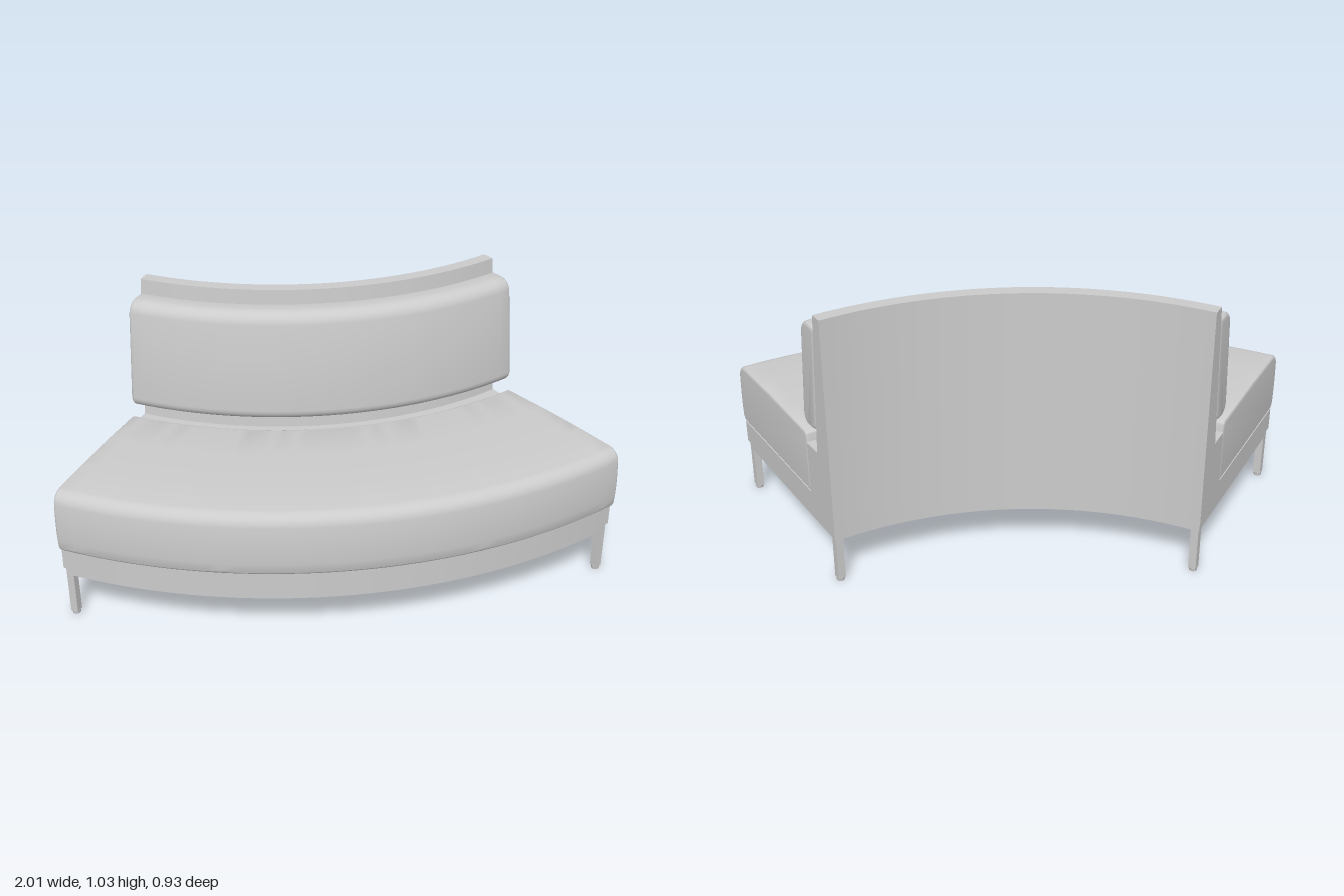
import * as THREE from 'three';
import { toCreasedNormals } from 'three/addons/utils/BufferGeometryUtils.js';

const HALF = Math.PI / 6;   // half of the 60 degree sector
const CENTRE_Z = -1.556;    // z of the arc centre
const SEGMENTS = 36;

// Cross-section [radius, height, cornerRadius], counter-clockwise, with rounded corners
function roundProfile(corners, steps = 5) {
  const out = [];
  corners.forEach(([x, y, rad = 0], i) => {
    const p = new THREE.Vector2(x, y);
    if (!rad) return out.push(p);
    const n = corners.length;
    const toward = (q) => new THREE.Vector2(q[0], q[1]).sub(p).setLength(rad).add(p);
    const a = toward(corners[(i + n - 1) % n]);
    const b = toward(corners[(i + 1) % n]);
    // cubic handles close to a circular fillet
    const h = (v) => v.clone().lerp(p, 0.55);
    out.push(...new THREE.CubicBezierCurve(a, h(a), h(b), b).getPoints(steps));
  });
  return out;
}

// Sweeps a profile around the arc centre; endRound softens the two end faces
function sweepArc(profile, half, endRound = 0) {
  const box = new THREE.Box2().setFromPoints(profile);
  const mid = box.getCenter(new THREE.Vector2());
  const size = box.getSize(new THREE.Vector2());
  const rings = [];
  const addRing = (angle, inset) => rings.push(profile.map((p) => {
    const r = mid.x + (p.x - mid.x) * (1 - 2 * inset / size.x);
    const y = mid.y + (p.y - mid.y) * (1 - 2 * inset / size.y);
    return [r * Math.sin(angle), y, r * Math.cos(angle)];
  }));
  const steps = endRound ? 4 : 0;
  const pad = endRound / mid.x;
  const endRing = (side, k) => {
    const t = (k / steps) * Math.PI / 2;
    addRing(side * (half - pad * (1 - Math.sin(t))), endRound * (1 - Math.cos(t)));
  };
  for (let k = steps; k > 0; k--) endRing(-1, k);
  for (let i = 0; i <= SEGMENTS; i++) addRing((half - pad) * (2 * i / SEGMENTS - 1), 0);
  for (let k = 1; k <= steps; k++) endRing(1, k);

  const pos = [];
  const n = profile.length;
  for (let j = 0; j < rings.length - 1; j++) {
    for (let i = 0; i < n; i++) {
      const k = (i + 1) % n;
      const [a, b, c, d] = [rings[j][i], rings[j + 1][i], rings[j + 1][k], rings[j][k]];
      pos.push(...a, ...b, ...c, ...a, ...c, ...d);
    }
  }
  // end faces
  const first = rings[0], last = rings[rings.length - 1];
  for (const [a, b, c] of THREE.ShapeUtils.triangulateShape(profile, [])) {
    pos.push(...first[a], ...first[b], ...first[c], ...last[a], ...last[c], ...last[b]);
  }
  const geo = new THREE.BufferGeometry();
  geo.setAttribute('position', new THREE.Float32BufferAttribute(pos, 3));
  return toCreasedNormals(geo, 0.6);
}

export function createModel() {
  const model = new THREE.Group();
  model.name = 'curvedBench';
  const arc = new THREE.Group();
  arc.name = 'arcParts';
  arc.position.z = CENTRE_Z;
  model.add(arc);

  const material = new THREE.MeshStandardMaterial({ color: 0xcccccc });
  const add = (name, geo, parent = arc) => {
    const mesh = new THREE.Mesh(geo, material);
    mesh.name = name;
    parent.add(mesh);
    return mesh;
  };

  // Plinth and leaning back wall in one piece
  add('backAndBase', sweepArc(roundProfile([
    [1.26, 0.205], [1.996, 0.205], [1.996, 0.29], [1.433, 0.29],
    [1.433, 0.49], [1.352, 0.49], [1.306, 1.03], [1.26, 1.03],
  ]), HALF));

  // Cushions
  add('seatCushion', sweepArc(roundProfile([
    [1.433, 0.29, 0.008], [2.016, 0.29, 0.02], [2.021, 0.38, 0.04],
    [2.012, 0.53, 0.045], [1.72, 0.536, 0.1], [1.433, 0.529, 0.015],
  ]), HALF, 0.01));
  add('backCushion', sweepArc(roundProfile([
    [1.348, 0.578, 0.015], [1.40, 0.568, 0.02], [1.447, 0.574, 0.035],
    [1.405, 0.983, 0.045], [1.311, 0.98, 0.012],
  ]), HALF, 0.014));

  // Square-tube frame under the plinth
  const TUBE = 0.028, Y0 = 0.175, Y1 = 0.205, IN = 1.266, OUT = 1.99;
  const rail = (r) => sweepArc(roundProfile([
    [r, Y0], [r + TUBE, Y0], [r + TUBE, Y1], [r, Y1],
  ]), HALF - 0.003);
  add('rearRail', rail(IN));
  add('frontRail', rail(OUT - TUBE));

  const barGeo = new THREE.BoxGeometry(TUBE, Y1 - Y0, OUT - IN - 0.01);
  const legGeo = new THREE.BoxGeometry(TUBE, Y0 - 0.012, TUBE);
  const footGeo = new THREE.CylinderGeometry(0.016, 0.014, 0.014, 16);
  for (const side of [-1, 0, 1]) {
    const spoke = new THREE.Group();
    spoke.name = side ? (side > 0 ? 'leftEndFrame' : 'rightEndFrame') : 'middleFrame';
    spoke.rotation.y = side * HALF;
    arc.add(spoke);
    const x = -side * (TUBE / 2 + 0.006);
    add('crossBar', barGeo, spoke).position.set(x, (Y0 + Y1) / 2, (IN + OUT) / 2);
    if (!side) continue;
    // Legs with small round feet
    for (const [name, r] of [['rear', IN + TUBE / 2], ['front', OUT - TUBE / 2]]) {
      add(name + 'Leg', legGeo, spoke).position.set(x, (Y0 + 0.012) / 2, r);
      add(name + 'Foot', footGeo, spoke).position.set(x, 0.007, r);
    }
  }
  return model;
}
